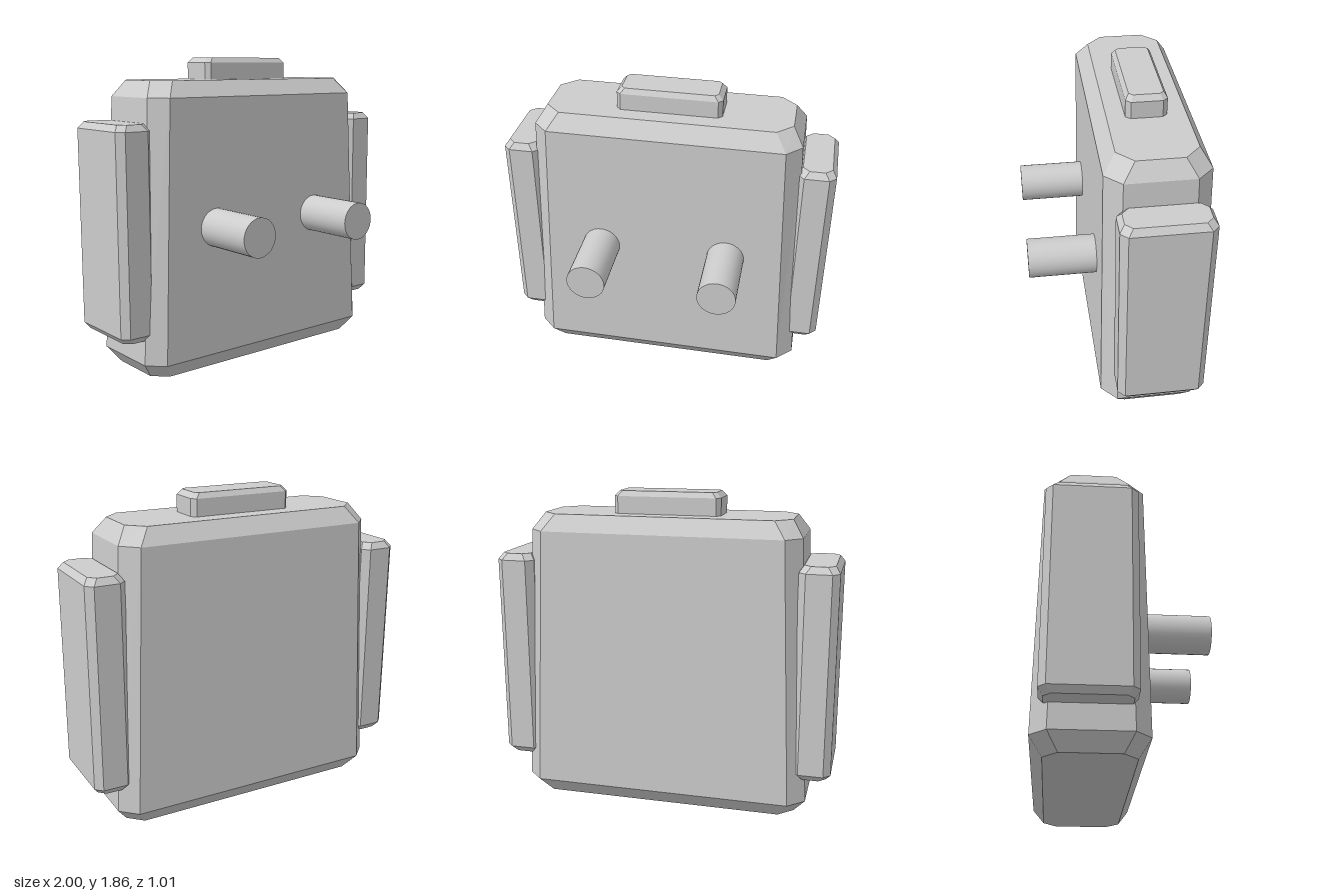
import * as THREE from 'three';

// Chamfered block: each section is [y, xMin, xMax, zMin, zMax, cornerX, cornerZ], bottom to top
function chamferBlock(sections) {
  const rings = sections.map(([y, x0, x1, z0, z1, cx, cz]) => [
    [x0 + cx, y, z1], [x1 - cx, y, z1],
    [x1, y, z1 - cz], [x1, y, z0 + cz],
    [x1 - cx, y, z0], [x0 + cx, y, z0],
    [x0, y, z0 + cz], [x0, y, z1 - cz],
  ]);
  const pos = [];
  const tri = (a, b, c) => pos.push(...a, ...b, ...c);
  const top = rings[rings.length - 1];
  for (let i = 0; i < rings.length - 1; i++) {
    for (let j = 0; j < 8; j++) {
      const k = (j + 1) % 8;
      const [lo, hi] = [rings[i], rings[i + 1]];
      tri(lo[j], lo[k], hi[k]);
      tri(lo[j], hi[k], hi[j]);
    }
  }
  // end caps
  for (let j = 1; j < 7; j++) {
    tri(top[0], top[j], top[j + 1]);
    tri(rings[0][0], rings[0][j + 1], rings[0][j]);
  }
  const geometry = new THREE.BufferGeometry();
  geometry.setAttribute('position', new THREE.Float32BufferAttribute(pos, 3));
  geometry.computeVertexNormals();
  return geometry;
}

export function createModel() {
  const group = new THREE.Group();
  const grey = new THREE.MeshStandardMaterial({ color: 0xcccccc });
  grey.name = 'light grey';

  const add = (name, geometry) => {
    const mesh = new THREE.Mesh(geometry, grey);
    mesh.name = name;
    group.add(mesh);
    return mesh;
  };

  // Tapered main body
  add('body', chamferBlock([
    [0, -0.79, 0.79, -0.435, 0.055, 0.085, 0.08],
    [0.095, -0.86, 0.86, -0.505, 0.12, 0.095, 0.09],
    [1.63, -0.79, 0.79, -0.48, 0.097, 0.09, 0.093],
    [1.725, -0.727, 0.727, -0.418, 0.026, 0.093, 0.09],
  ]));

  // Raised block on top
  add('topBlock', chamferBlock([
    [1.7, -0.313, 0.313, -0.31, -0.077, 0.025, 0.028],
    [1.825, -0.313, 0.313, -0.31, -0.077, 0.025, 0.028],
    [1.855, -0.285, 0.285, -0.29, -0.097, 0.022, 0.022],
  ]));

  // Side panels and front pegs, mirrored
  for (const [side, s] of [['left', 1], ['right', -1]]) {
    const section = (y, inset) => {
      const x = [s * (0.775 + inset), s * (1 - inset)].sort((a, b) => a - b);
      return [y, ...x, -0.465 + inset, 0.045 - inset, 0.04, 0.04];
    };
    add(side + 'Panel', chamferBlock([
      section(0.24, 0.027), section(0.277, 0),
      section(1.45, 0), section(1.488, 0.027),
    ]));

    const peg = add(side + 'Peg', new THREE.CylinderGeometry(0.115, 0.115, 0.455, 32));
    peg.rotation.x = Math.PI / 2;
    peg.position.set(s * 0.391, 0.865, 0.2775);
  }
  return group;
}
